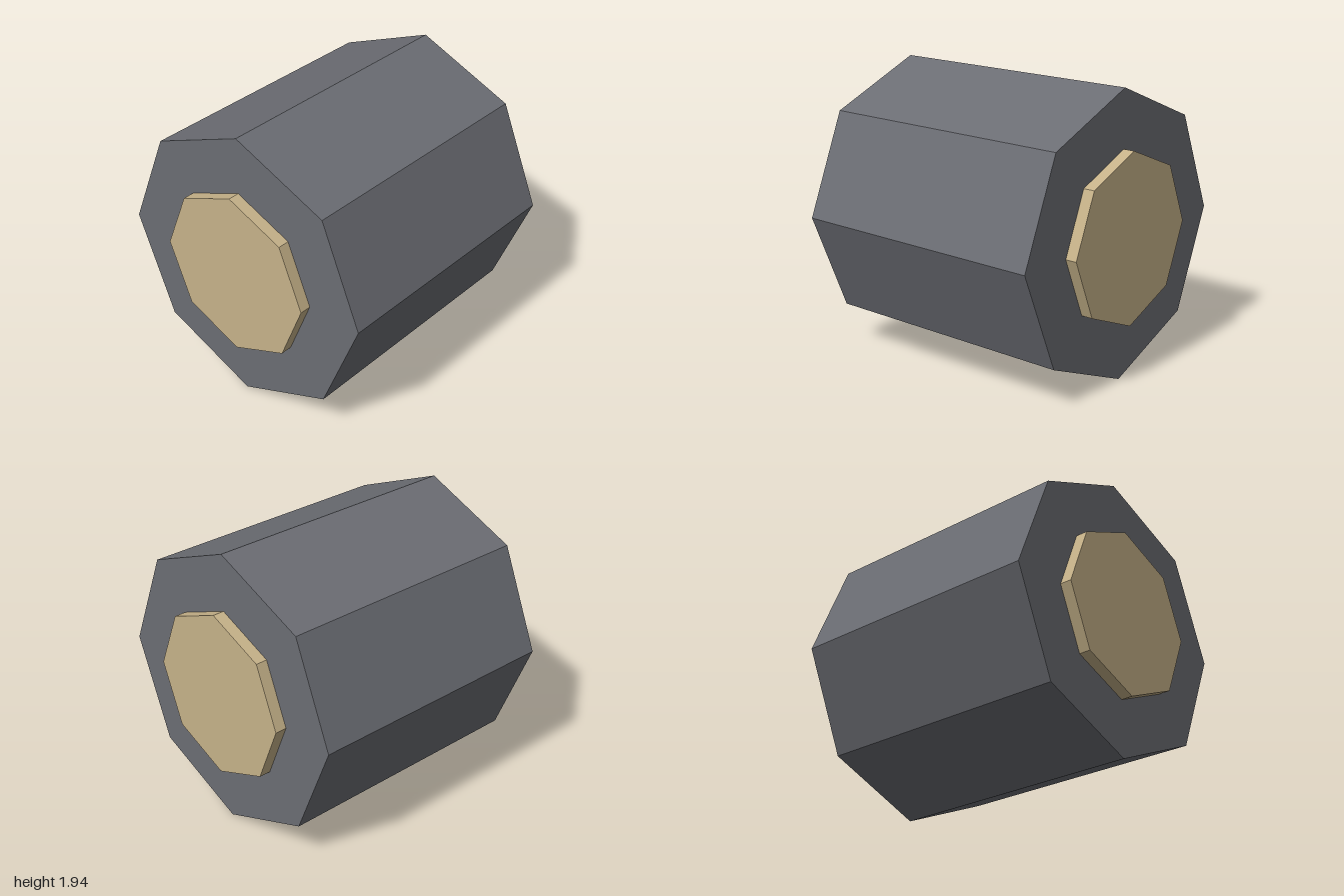
import * as THREE from 'three';

export function createModel() {
  const group = new THREE.Group();
  const mat = (name, color) => {
    const m = new THREE.MeshStandardMaterial({ color, flatShading: true });
    m.name = name;
    return m;
  };
  const grey = mat('slate grey', 0x6b6d73);
  const tan = mat('pale wood', 0xc6b289);
  const radius = 0.97;

  // Octagonal prism lying along x, with one corner pointing straight up
  const prism = (name, r, length, material) => {
    const geometry = new THREE.CylinderGeometry(r, r, length, 8).rotateZ(Math.PI / 2);
    const mesh = new THREE.Mesh(geometry, material);
    mesh.name = name;
    mesh.position.y = radius;
    group.add(mesh);
  };

  prism('drum', radius, 1.84, grey);
  // Core runs through the drum and stands proud at both ends
  prism('core', 0.58, 2, tan);

  return group;
}
